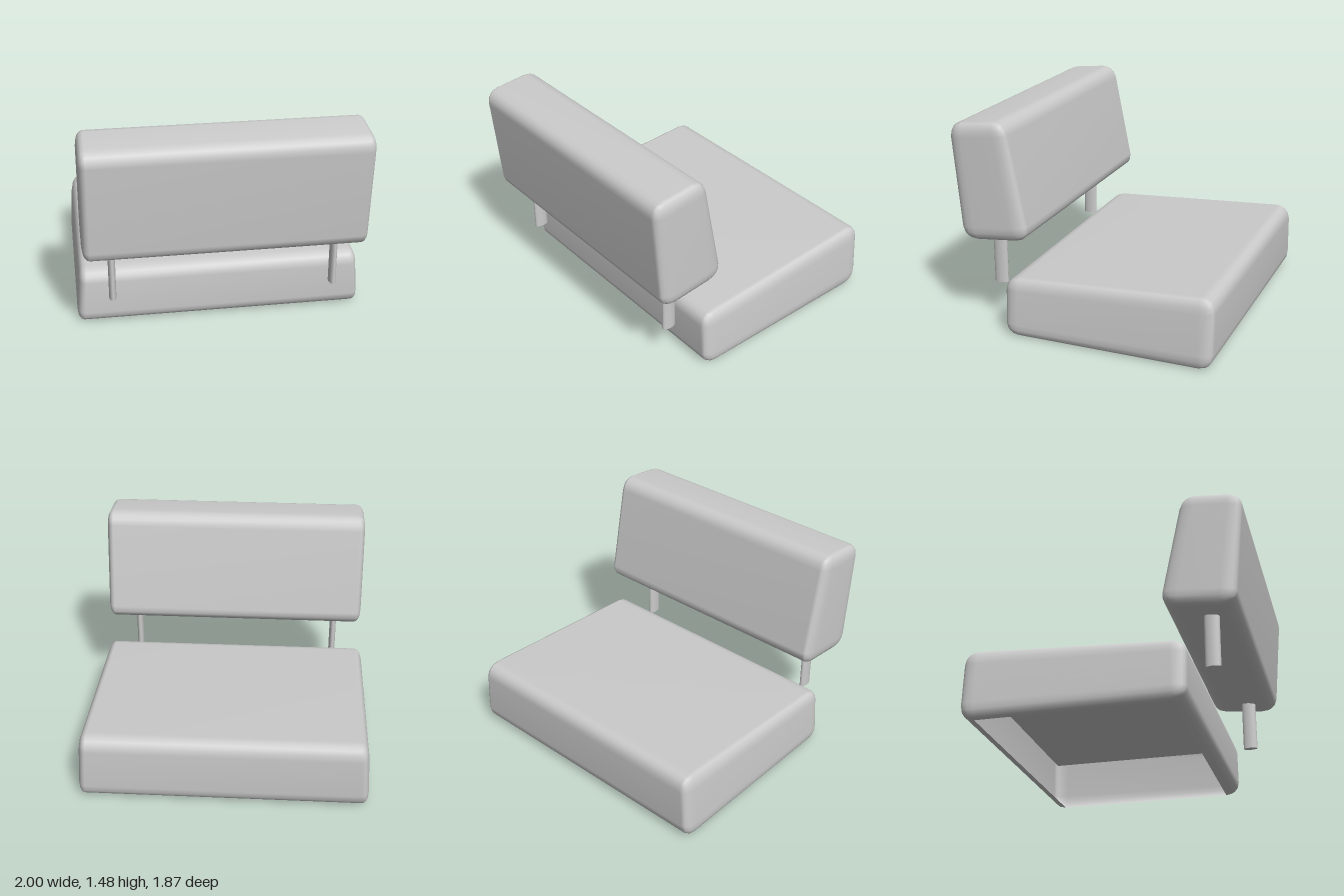
import * as THREE from 'three';
import { RoundedBoxGeometry } from 'three/addons/geometries/RoundedBoxGeometry.js';
import { mergeVertices } from 'three/addons/utils/BufferGeometryUtils.js';

const material = new THREE.MeshStandardMaterial({ color: 0xcccccc, side: THREE.DoubleSide });

// Rounded block whose side profile is the quad [bottomFar, bottomNear, topFar, topNear],
// each corner given as [z, y], where near is the +z end. The sides taper from xBottom to xTop.
function cushion(name, xBottom, xTop, quad, height, depth, openBottom) {
  const width = 3.8;
  let geo = new RoundedBoxGeometry(width, height, depth, 2, 0.1);
  geo.deleteAttribute('uv');
  geo.deleteAttribute('normal');
  geo = mergeVertices(geo, 1e-4);
  const pos = geo.attributes.position;

  if (openBottom) {
    const index = geo.index.array;
    const onFloor = (i) => pos.getY(i) < -height / 2 + 1e-3;
    const kept = [];
    for (let i = 0; i < index.length; i += 3) {
      const face = [index[i], index[i + 1], index[i + 2]];
      if (!face.every(onFloor)) kept.push(...face);
    }
    geo.setIndex(kept);
  }

  const [bf, bn, tf, tn] = quad;
  const mix = THREE.MathUtils.lerp;
  for (let i = 0; i < pos.count; i++) {
    const u = pos.getZ(i) / depth + 0.5;
    const v = pos.getY(i) / height + 0.5;
    const x = (pos.getX(i) / (width / 2)) * mix(xBottom, xTop, v);
    const z = mix(mix(bf[0], bn[0], u), mix(tf[0], tn[0], u), v);
    const y = mix(mix(bf[1], bn[1], u), mix(tf[1], tn[1], u), v);
    pos.setXYZ(i, x, y, z);
  }
  geo.computeVertexNormals();
  const mesh = new THREE.Mesh(geo, material);
  mesh.name = name;
  return mesh;
}

export function createModel() {
  const group = new THREE.Group();
  group.name = 'benchSeat';

  // Seat cushion, hollow underneath
  group.add(cushion('seatCushion', 1.007, 0.977,
    [[-0.935, 0], [0.552, 0], [-0.935, 0.5], [0.552, 0.415]], 0.46, 1.48, true));

  // Leaning backrest, thicker at the bottom
  group.add(cushion('backrest', 0.956, 0.956,
    [[0.37, 0.681], [0.873, 0.631], [0.532, 1.491], [0.944, 1.448]], 0.83, 0.45, false));

  // Flat base panel inside the seat, stopping just short of the rear wall
  const panel = new THREE.Mesh(new THREE.BoxGeometry(1.66, 0.008, 1.41), material);
  panel.name = 'basePanel';
  panel.position.set(0, 0.313, -0.165);
  group.add(panel);

  // Oval posts carrying the backrest
  for (const side of [-1, 1]) {
    const post = new THREE.Mesh(new THREE.CylinderGeometry(0.052, 0.052, 0.42, 16), material);
    post.name = side > 0 ? 'leftPost' : 'rightPost';
    post.scale.x = 0.47;
    post.position.set(side * 0.76, 0.497, 0.682);
    group.add(post);
  }
  return group;
}
